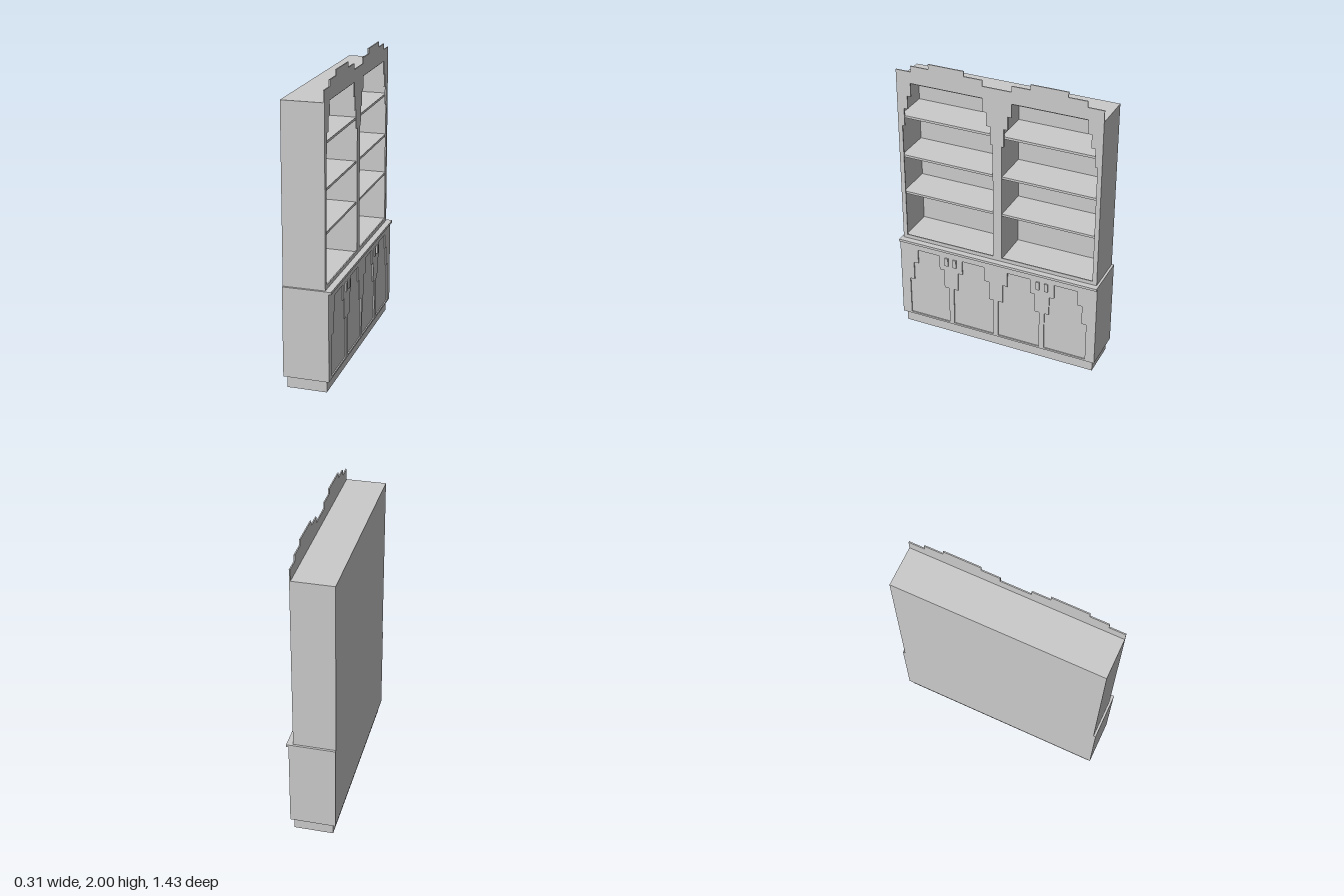
import * as THREE from 'three';

const material = new THREE.MeshStandardMaterial({ color: 0xcccccc, flatShading: true });

// Box given by its lower and upper corners
function box(parent, name, [x0, y0, z0], [x1, y1, z1]) {
  const mesh = new THREE.Mesh(new THREE.BoxGeometry(x1 - x0, y1 - y0, z1 - z0), material);
  mesh.position.set((x0 + x1) / 2, (y0 + y1) / 2, (z0 + z1) / 2);
  mesh.name = name;
  parent.add(mesh);
  return mesh;
}

// Symmetric stepped outline: tiers are [half width, top height], from the bottom up
function steppedPath(cx, bottom, tiers) {
  const right = [];
  let y = bottom;
  for (const [half, top] of tiers) {
    right.push([half, y], [half, top]);
    y = top;
  }
  const left = right.map(([h, v]) => [-h, v]).reverse();
  return new THREE.Path([...right, ...left].map(([h, v]) => new THREE.Vector2(cx + h, v)));
}

// Flat board with cut-outs, from depth z0 to z1
function board(parent, name, points, holes, z0, z1) {
  const shape = new THREE.Shape(points.map(([x, y]) => new THREE.Vector2(x, y)));
  shape.holes.push(...holes);
  const geometry = new THREE.ExtrudeGeometry(shape, { depth: z1 - z0, bevelEnabled: false });
  const mesh = new THREE.Mesh(geometry, material);
  mesh.position.z = z0;
  mesh.name = name;
  parent.add(mesh);
}

export function createModel() {
  const model = new THREE.Group();
  model.name = 'bookcase';
  // Built facing +z, then turned so the shelves open towards +x
  const cabinet = new THREE.Group();
  cabinet.name = 'cabinet';
  cabinet.rotation.y = Math.PI / 2;
  model.add(cabinet);

  // Lower cupboard: plinth, carcass, countertop
  box(cabinet, 'plinth', [-0.695, 0, -0.14], [0.695, 0.08, 0.12]);
  box(cabinet, 'cupboardBody', [-0.715, 0.08, -0.16], [0.715, 0.665, 0.132]);
  box(cabinet, 'countertop', [-0.715, 0.665, -0.16], [0.715, 0.682, 0.155]);

  // Cupboard front with four recessed, stepped door panels
  const doors = [-0.5, -0.166, 0.166, 0.5].map((x) =>
    steppedPath(x, 0.093, [[0.149, 0.374], [0.116, 0.512], [0.082, 0.618]]));
  board(cabinet, 'cupboardFront',
    [[-0.715, 0.08], [0.715, 0.08], [0.715, 0.665], [-0.715, 0.665]], doors, 0.132, 0.14);

  // Paired door handles
  for (const pair of [-0.333, 0.333]) {
    for (const offset of [-0.03, 0.03]) {
      const x = pair + offset;
      box(cabinet, 'handle', [x - 0.012, 0.555, 0.138], [x + 0.012, 0.615, 0.149]);
    }
  }

  // Upper case: back, sides, top, floor and central divider
  const back = -0.16, front = 0.106;
  box(cabinet, 'backPanel', [-0.7, 0.682, back], [0.7, 1.85, back + 0.01]);
  for (const side of [-1, 1]) {
    const a = side * 0.7, b = side * 0.685;
    box(cabinet, 'sidePanel', [Math.min(a, b), 0.682, back], [Math.max(a, b), 1.85, front]);
  }
  box(cabinet, 'topPanel', [-0.7, 1.838, back], [0.7, 1.85, front]);
  box(cabinet, 'caseFloor', [-0.69, 0.682, back], [0.69, 0.7, front]);
  box(cabinet, 'divider', [-0.03, 0.69, back], [0.03, 1.845, front]);

  // Three shelves on each side of the divider
  for (const y of [1.034, 1.309, 1.598]) {
    box(cabinet, 'leftShelf', [0.03, y - 0.008, back + 0.005], [0.69, y + 0.008, front]);
    box(cabinet, 'rightShelf', [-0.69, y - 0.008, back + 0.005], [-0.03, y + 0.008, front]);
  }

  // Face frame with stepped arches and a twin stepped crest
  const openings = [-0.35, 0.35].map((x) =>
    steppedPath(x, 0.708, [[0.32, 1.535], [0.303, 1.66], [0.276, 1.752], [0.25, 1.845]]));
  const crest = [[0.1, 1.925], [0.1, 1.965], [0.223, 1.965], [0.223, 2], [0.47, 2],
    [0.47, 1.965], [0.594, 1.965], [0.594, 1.925], [0.7, 1.925], [0.7, 0.682]];
  const mirrored = crest.map(([x, y]) => [-x, y]).reverse();
  board(cabinet, 'faceFrame', [...mirrored, ...crest], openings, front, 0.114);

  return model;
}
